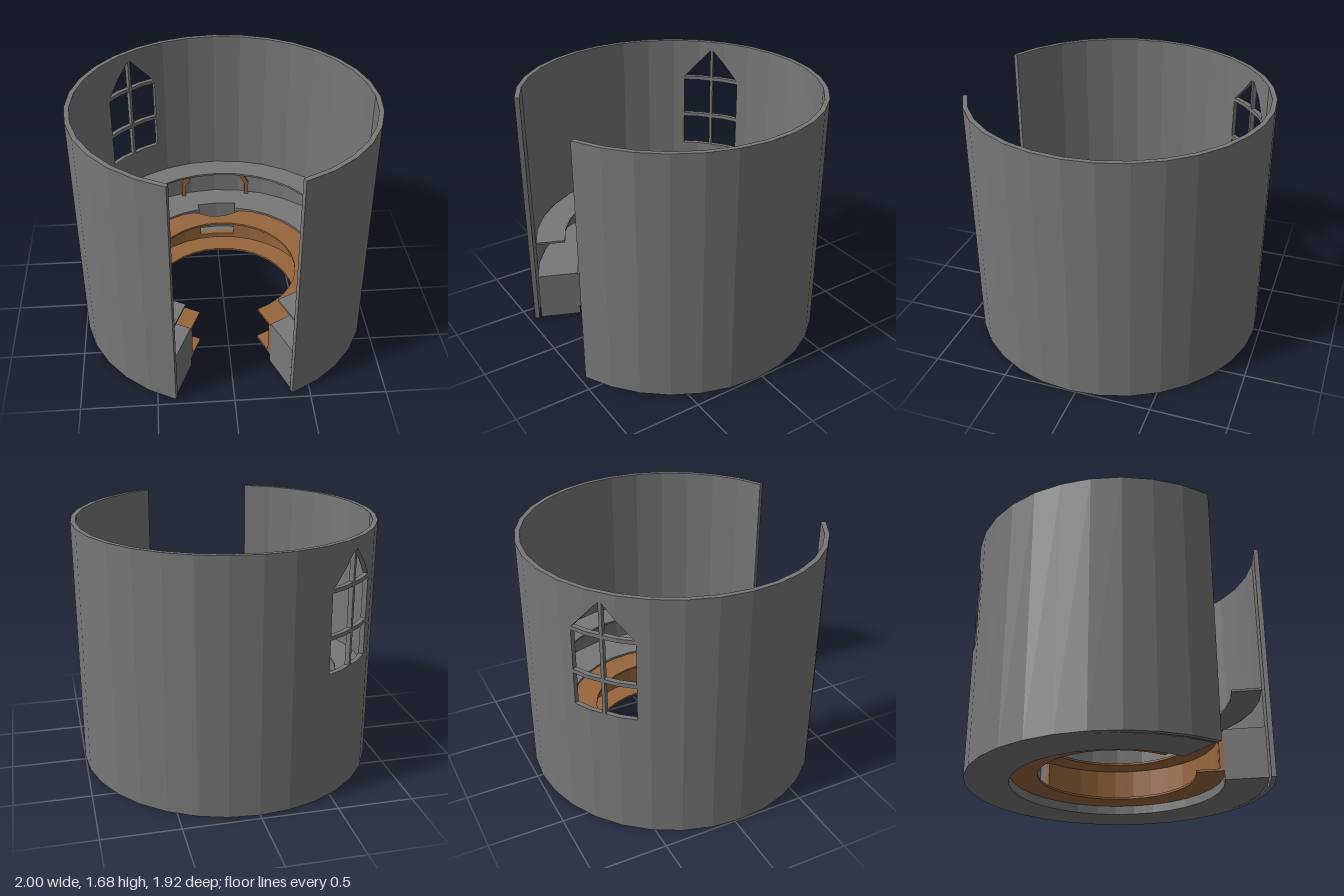
import * as THREE from 'three';

const STEP = 11.25, RAD = Math.PI / 180;
const GAP = 22.5;                 // half angle of the front opening
const OPEN = [GAP, 360 - GAP];

// angles from a0 to a1, stopping at every corner of the 32-sided plan
function stops(a0, a1, extra = []) {
  const list = [a0, a1, ...extra.filter(a => a > a0 && a < a1)];
  for (let a = 0; a <= 360; a += STEP) if (a > a0 + 0.01 && a < a1 - 0.01) list.push(a);
  return list.sort((p, q) => p - q);
}

// radius on the flat side of the polygon
function onFlat(r, a) {
  const t = a - Math.floor(a / STEP + 1e-6) * STEP;
  return r * Math.cos(STEP / 2 * RAD) / Math.cos((t - STEP / 2) * RAD);
}

// curved block; outer radius and lower height may depend on the angle
function sector(a0, a1, r0, r1, y0, y1, extra) {
  const angles = stops(a0, a1, extra), n = angles.length - 1;
  const at = (v, a) => (typeof v === 'function' ? v(a) : v);
  const geo = new THREE.BoxGeometry(1, 1, 1, n, 1, 1).toNonIndexed();
  const p = geo.attributes.position;
  for (let i = 0; i < p.count; i++) {
    const a = angles[Math.round((p.getX(i) + 0.5) * n)];
    const r = onFlat(p.getZ(i) > 0 ? at(r1, a) : r0, a);
    const y = p.getY(i) > 0 ? y1 : at(y0, a);
    p.setXYZ(i, r * Math.sin(a * RAD), y, r * Math.cos(a * RAD));
  }
  geo.computeVertexNormals();
  return geo;
}

export function createModel() {
  const model = new THREE.Group();
  const stone = new THREE.MeshStandardMaterial({ color: 0x787878 });
  stone.name = 'grey stone';
  const wood = new THREE.MeshStandardMaterial({ color: 0x98663d });
  wood.name = 'brown wood';

  const shell = new THREE.Group();
  shell.name = 'towerWall';
  shell.position.z = 0.038;
  const inside = new THREE.Group();
  inside.name = 'interior';
  inside.position.z = 0.016;
  model.add(shell, inside);

  const add = (parent, name, geo, mat) => {
    const mesh = new THREE.Mesh(geo, mat);
    mesh.name = name;
    parent.add(mesh);
    return mesh;
  };

  // outer wall with a pointed window
  const R0 = 0.968, R1 = 1, H = 1.68;
  const mid = 219.375, half = 12.2, sill = 0.86, spring = 1.4, apex = 1.625;
  const w0 = mid - half, w1 = mid + half;
  const arch = a => apex - Math.abs(a - mid) / half * (apex - spring);
  add(shell, 'wallLeft', sector(OPEN[0], w0, R0, R1, 0, H), stone);
  add(shell, 'wallRight', sector(w1, OPEN[1], R0, R1, 0, H), stone);
  add(shell, 'wallBelowWindow', sector(w0, w1, R0, R1, 0, sill), stone);
  add(shell, 'wallAboveWindow', sector(w0, w1, R0, R1, arch, H, [mid]), stone);

  // window bars
  add(shell, 'windowMullion', sector(mid - 0.6, mid + 0.6, R0, R1, sill, apex), stone);
  for (const y of [1.095, 1.393]) {
    add(shell, 'windowTransom', sector(w0, w1, R0, R1, y - 0.013, y + 0.013), stone);
  }

  // stone platform with a niche at the back
  const n0 = 180 - STEP, n1 = 180 + STEP;
  add(inside, 'platformLeft', sector(OPEN[0], n0, 0.697, 0.975, 0, 0.34), stone);
  add(inside, 'platformRight', sector(n1, OPEN[1], 0.697, 0.975, 0, 0.34), stone);
  add(inside, 'nicheFloor', sector(n0, n1, 0.697, 0.975, 0, 0.11), stone);
  add(inside, 'nicheBack', sector(n0, n1, 0.76, 0.975, 0.11, 0.34), stone);

  // thin shelf around the wall
  add(inside, 'shelf', sector(OPEN[0], OPEN[1], 0.77, 0.968, 0.6, 0.615), stone);

  // wooden channel: seat, base and riser, open in front of the niche
  const seatEdge = a => {
    const t = Math.abs(a - 180) / 14.5;
    return t > 1 ? 0.697 : 0.604 + 0.081 * t * t;
  };
  add(inside, 'seat', sector(OPEN[0], OPEN[1], 0.515, seatEdge, 0.31, 0.325,
    [165.5, 174, 186, 194.5]), wood);
  add(inside, 'seatBase', sector(OPEN[0], OPEN[1], 0.515, 0.697, 0.06, 0.075), wood);
  add(inside, 'riserLeft', sector(OPEN[0], n0, 0.668, 0.697, 0.075, 0.31), wood);
  add(inside, 'riserRight', sector(n1, OPEN[1], 0.668, 0.697, 0.075, 0.31), wood);
  add(inside, 'riserBelowNiche', sector(n0, n1, 0.668, 0.71, 0.075, 0.112), wood);

  // wooden arch posts under the shelf at the back
  for (const s of [-1, 1]) {
    const pts = [[0.235, 0.34], [0.265, 0.34], [0.265, 0.445], [0.17, 0.602],
      [0.14, 0.602], [0.235, 0.435]];
    const shape = new THREE.Shape(pts.map(([x, y]) => new THREE.Vector2(s * x, y)));
    const geo = new THREE.ExtrudeGeometry(shape, { depth: 0.06, bevelEnabled: false });
    add(inside, 'archPost', geo, wood).position.z = -0.935;
  }
  return model;
}
